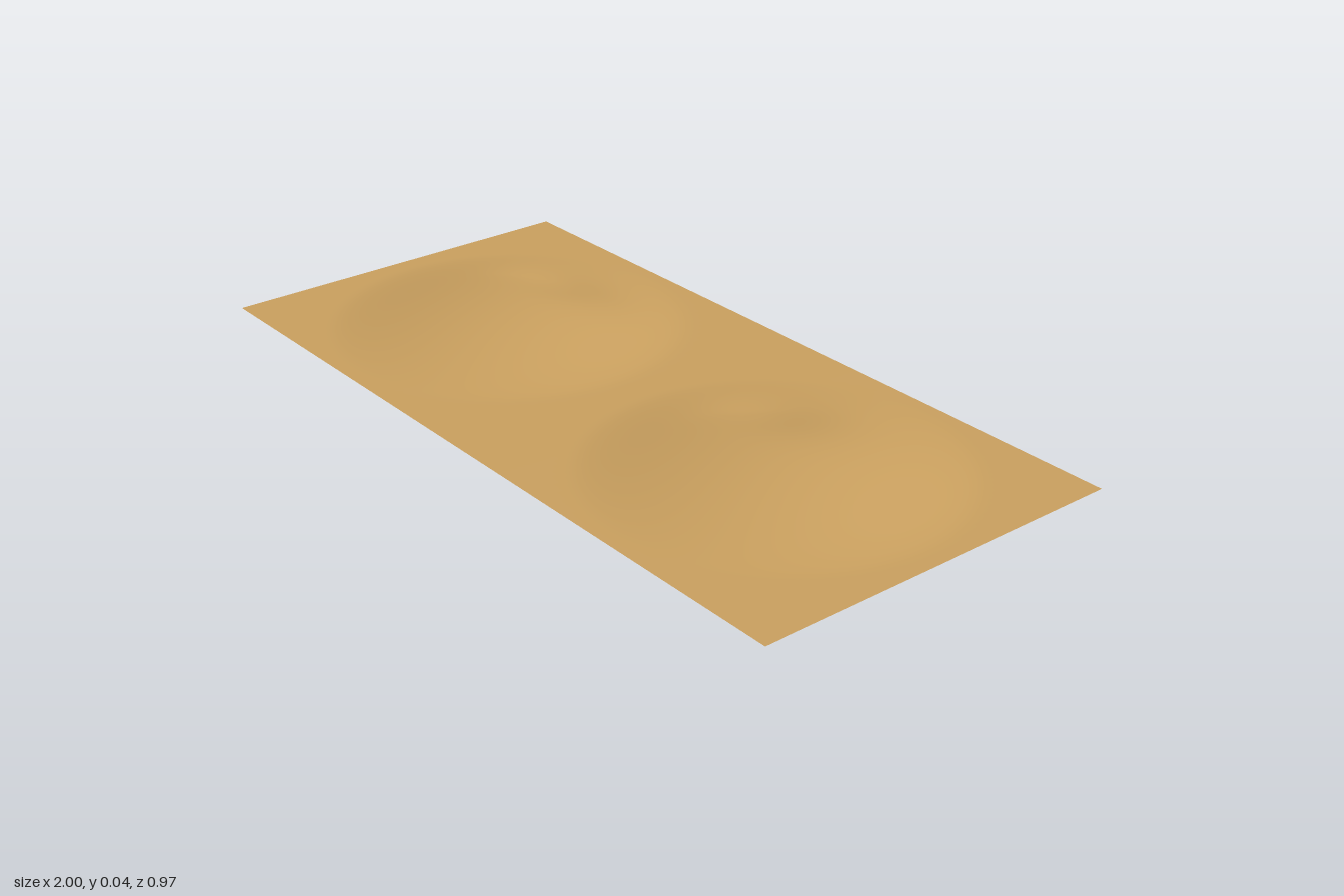
import * as THREE from 'three';

const WIDTH = 2, DEPTH = 0.97;

// Each dune is a low dome with a scooped, wind-carved hollow beside its crest
const dunes = [
  { x: -0.5, z: 0, radius: 0.45, height: 0.045,
    hollow: { x: -0.59, z: -0.22, rx: 0.17, rz: 0.11, depth: 0.019 } },
  { x: 0.5, z: 0, radius: 0.45, height: 0.045,
    hollow: { x: 0.32, z: -0.14, rx: 0.15, rz: 0.12, depth: 0.016 } },
];

function duneHeight(d, x, z) {
  const r2 = ((x - d.x) ** 2 + (z - d.z) ** 2) / d.radius ** 2;
  if (r2 >= 1) return 0;
  const dome = d.height * Math.pow(1 - r2, 1.55);
  const h = d.hollow;
  const q = ((x - h.x) / h.rx) ** 2 + ((z - h.z) / h.rz) ** 2;
  return Math.max(0, dome - h.depth * Math.exp(-q) * Math.min(1, (1 - r2) * 1.5));
}

export function createModel() {
  const model = new THREE.Group();
  model.name = 'sandDunes';

  // Thin sand sheet, raised by the dunes
  const geometry = new THREE.PlaneGeometry(WIDTH, DEPTH, 120, 60);
  geometry.rotateX(-Math.PI / 2);
  const p = geometry.attributes.position;
  for (let i = 0; i < p.count; i++) {
    const x = p.getX(i), z = p.getZ(i);
    p.setY(i, dunes.reduce((y, d) => y + duneHeight(d, x, z), 0));
  }
  geometry.computeVertexNormals();

  const sand = new THREE.Mesh(geometry, new THREE.MeshStandardMaterial({
    color: 0xcca260, side: THREE.DoubleSide,
  }));
  sand.name = 'sandSurface';
  model.add(sand);
  return model;
}
